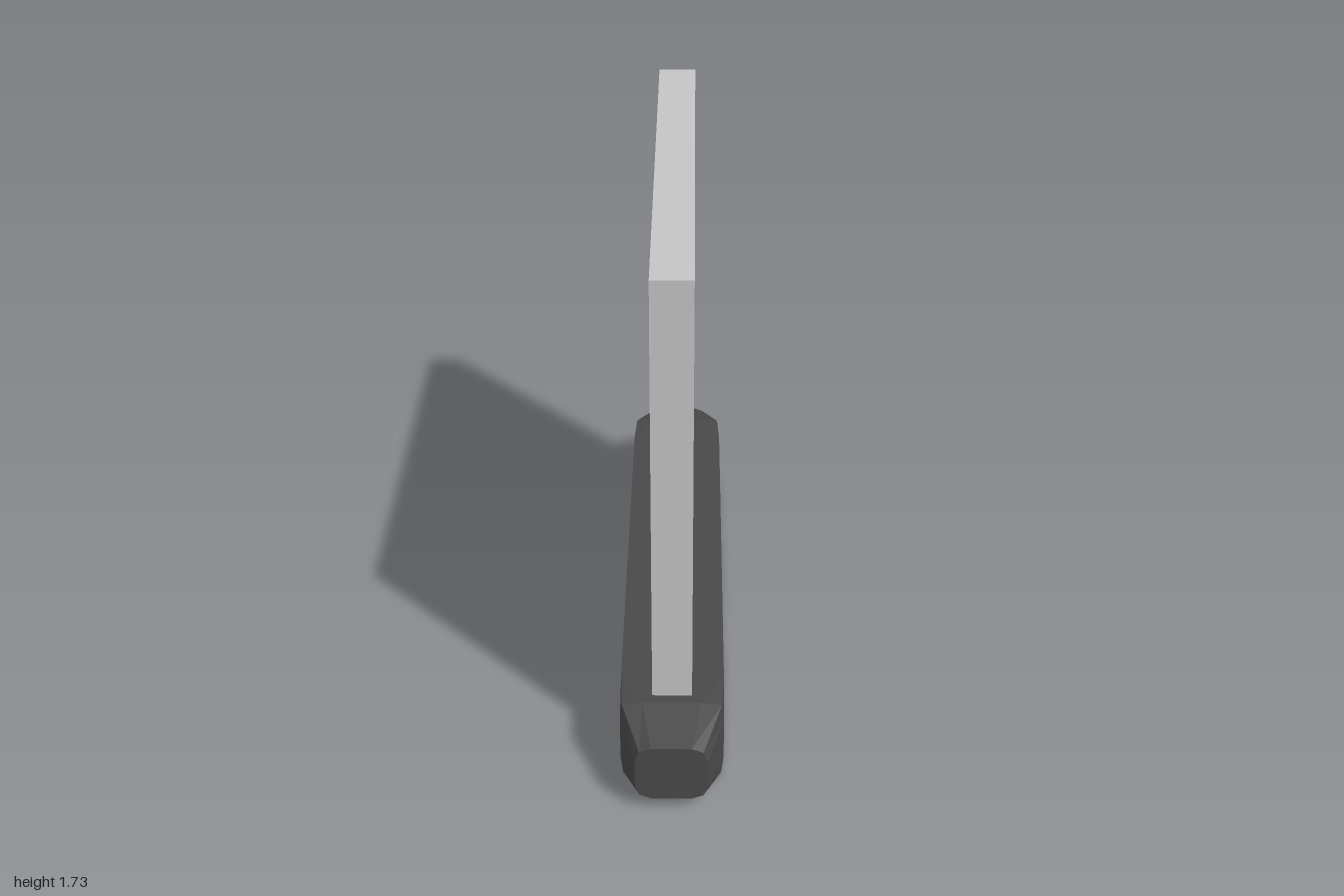
import * as THREE from 'three';

const mat = (name, color, extra = {}) => {
  const m = new THREE.MeshStandardMaterial({ color, ...extra });
  m.name = name;
  return m;
};

const W = 0.162, H = 0.145; // half width and half height of the base

// Twelve-point ring: three points per corner, counter-clockwise seen from +z.
// w, h: half sizes; cut: corner cut length; inset: how far the corner tip is pulled in.
function ring(z, w, h, cut, inset) {
  const corner = [[w, h - cut], [w - inset, h - inset], [w - cut, h]];
  const flip = (sx, sy) => corner.map(([x, y]) => [x * sx, y * sy]);
  return [
    ...corner,
    ...flip(-1, 1).reverse(),
    ...flip(-1, -1),
    ...flip(1, -1).reverse(),
  ].map(([x, y]) => new THREE.Vector3(x, y + H, z));
}

// Skin the rings with flat faces and close both ends
function loft(rings) {
  const points = [], n = rings[0].length;
  const tri = (a, b, c) => {
    const area = b.clone().sub(a).cross(c.clone().sub(a)).length();
    if (area > 1e-8) points.push(a, b, c);
  };
  for (let i = 0; i < rings.length - 1; i++) {
    for (let j = 0; j < n; j++) {
      const k = (j + 1) % n;
      const a = rings[i][j], b = rings[i][k], c = rings[i + 1][k], d = rings[i + 1][j];
      tri(a, b, c);
      tri(a, c, d);
    }
  }
  const first = rings[0], last = rings[rings.length - 1];
  for (let j = 1; j < n - 1; j++) {
    tri(first[0], first[j + 1], first[j]);
    tri(last[0], last[j], last[j + 1]);
  }
  const geo = new THREE.BufferGeometry().setFromPoints(points);
  geo.computeVertexNormals();
  return geo;
}

export function createModel() {
  const model = new THREE.Group();
  model.name = 'barrier';
  const dark = mat('darkGrey', 0x494949, { flatShading: true });
  const light = mat('lightGrey', 0xc4c4c4);
  const yellow = mat('yellow', 0xd0d010);

  const add = (name, geo, material) => {
    const mesh = new THREE.Mesh(geo, material);
    mesh.name = name;
    model.add(mesh);
    return mesh;
  };

  // Base beam: square in the middle, corners cut and tapered toward both ends
  const half = [
    [0.70, W, H, 0, 0],
    [0.84, W, H, 0.07, 0.007],
    [1.00, 0.112, 0.1, 0.05, 0.014],
  ];
  const rings = [
    ...half.map(([z, ...r]) => ring(-z, ...r)).reverse(),
    ...half.map((r) => ring(...r)),
  ];
  add('base', loft(rings), dark);

  // Upright panel, sunk slightly into the base
  const panel = add('panel', new THREE.BoxGeometry(0.124, 1.53, 1.61), light);
  panel.position.y = 1.73 - 1.53 / 2;

  // Slanted warning stripes on the right side only, drawn as (z, y) outlines
  const stripes = [
    [[-0.28, 0], [0.13, 0], [-0.52, 0.29], [-0.82, 0.288], [-0.73, 0.18]],
    [[0.53, 0], [0.82, 0.003], [0.84, 0.03], [0.28, 0.29], [-0.08, 0.29]],
  ];
  stripes.forEach((outline, i) => {
    const shape = new THREE.Shape(outline.map(([z, y]) => new THREE.Vector2(z, y)));
    const geo = new THREE.ShapeGeometry(shape).rotateY(-Math.PI / 2);
    add(`warningStripe${i + 1}`, geo, yellow).position.x = -W - 0.0015;
  });

  return model;
}
